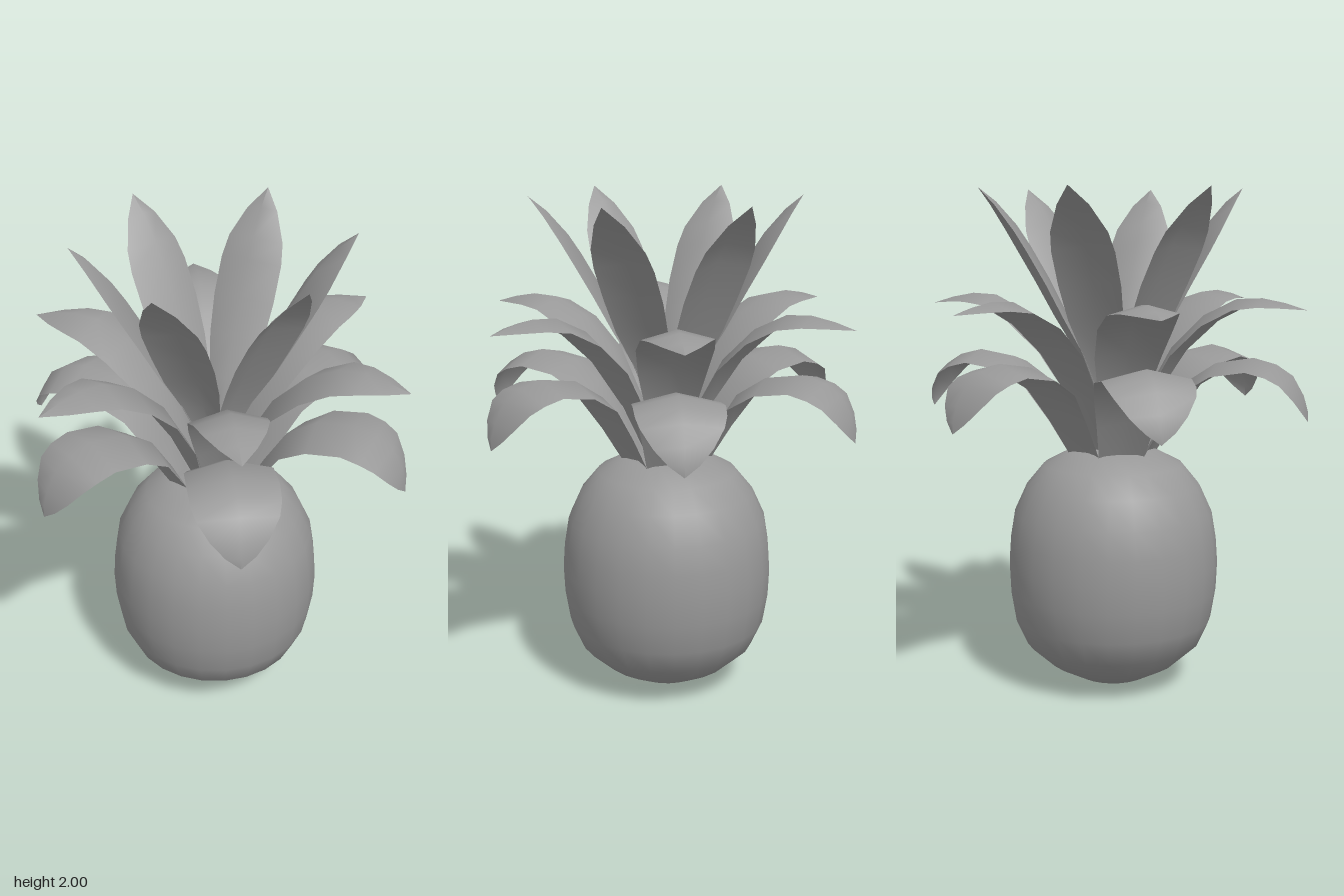
import * as THREE from 'three';

const material = new THREE.MeshStandardMaterial({ color: 0x999999 });
const leafMaterial = new THREE.MeshStandardMaterial({ color: 0x999999, side: THREE.DoubleSide });

// Leaf growing along +x. Each station: [radius, height, half width] of the midrib;
// the side edges drop away from the midrib along the normal, giving a gentle ridge.
function leafGeometry(stations, ridge) {
  const positions = [], indices = [];
  const widest = Math.max(...stations.map((s) => s[2]));
  stations.forEach(([r, y, w], i) => {
    const a = stations[Math.max(i - 1, 0)];
    const b = stations[Math.min(i + 1, stations.length - 1)];
    const length = Math.hypot(b[0] - a[0], b[1] - a[1]);
    const drop = ridge * w / widest;
    const er = r + (b[1] - a[1]) / length * drop;
    const ey = y - (b[0] - a[0]) / length * drop;
    positions.push(er, ey, w, r, y, 0, er, ey, -w);
    if (i === 0) return;
    for (let c = 0; c < 2; c++) {
      const p = (i - 1) * 3 + c, q = i * 3 + c;
      indices.push(p, q, p + 1);
      indices.push(q, q + 1, p + 1);
    }
  });
  const geometry = new THREE.BufferGeometry();
  geometry.setAttribute('position', new THREE.Float32BufferAttribute(positions, 3));
  geometry.setIndex(indices);
  geometry.computeVertexNormals();
  return geometry;
}

// Ring of six equal leaves
function leafRing(name, stations, ridge, startAngle) {
  const ring = new THREE.Group();
  ring.name = name;
  const geometry = leafGeometry(stations, ridge);
  for (let i = 0; i < 6; i++) {
    const leaf = new THREE.Mesh(geometry, leafMaterial);
    leaf.name = name + 'Leaf';
    leaf.rotation.y = startAngle + i * Math.PI / 3;
    ring.add(leaf);
  }
  return ring;
}

export function createModel() {
  const model = new THREE.Group();
  model.name = 'pineapple';

  // Rounded fruit body
  const profile = [
    [0, 0], [0.14, 0.022], [0.26, 0.085], [0.355, 0.17], [0.4, 0.27], [0.42, 0.39], [0.425, 0.5],
    [0.418, 0.6], [0.4, 0.71], [0.35, 0.82], [0.28, 0.905], [0.17, 0.962], [0, 0.965],
  ].map(([x, y]) => new THREE.Vector2(x, y));
  const fruit = new THREE.Mesh(new THREE.LatheGeometry(profile, 24), material);
  fruit.name = 'fruit';
  model.add(fruit);

  // Lower crown leaves, bending over
  model.add(leafRing('lowerCrown', [
    [0.12, 0.93, 0.085], [0.21, 1.1, 0.115], [0.3, 1.245, 0.145], [0.42, 1.325, 0.165],
    [0.57, 1.35, 0.167], [0.66, 1.327, 0.163], [0.725, 1.285, 0.148], [0.768, 1.21, 0.105],
    [0.785, 1.15, 0.055], [0.787, 1.108, 0],
  ], 0.04, 0));

  // Middle crown leaves, arching outwards
  model.add(leafRing('middleCrown', [
    [0.05, 0.94, 0.045], [0.13, 1.18, 0.09], [0.24, 1.38, 0.13], [0.37, 1.51, 0.145],
    [0.5, 1.575, 0.135], [0.6, 1.58, 0.11], [0.69, 1.563, 0.065], [0.775, 1.537, 0],
  ], 0.04, 0));

  // Upper crown leaves, upright and set between the others
  model.add(leafRing('upperCrown', [
    [0.02, 0.94, 0.015], [0.05, 1.18, 0.04], [0.11, 1.36, 0.08], [0.185, 1.51, 0.112],
    [0.255, 1.65, 0.125], [0.33, 1.78, 0.125], [0.38, 1.855, 0.112], [0.46, 1.945, 0.062],
    [0.53, 2, 0],
  ], 0.04, Math.PI / 6));

  return model;
}
